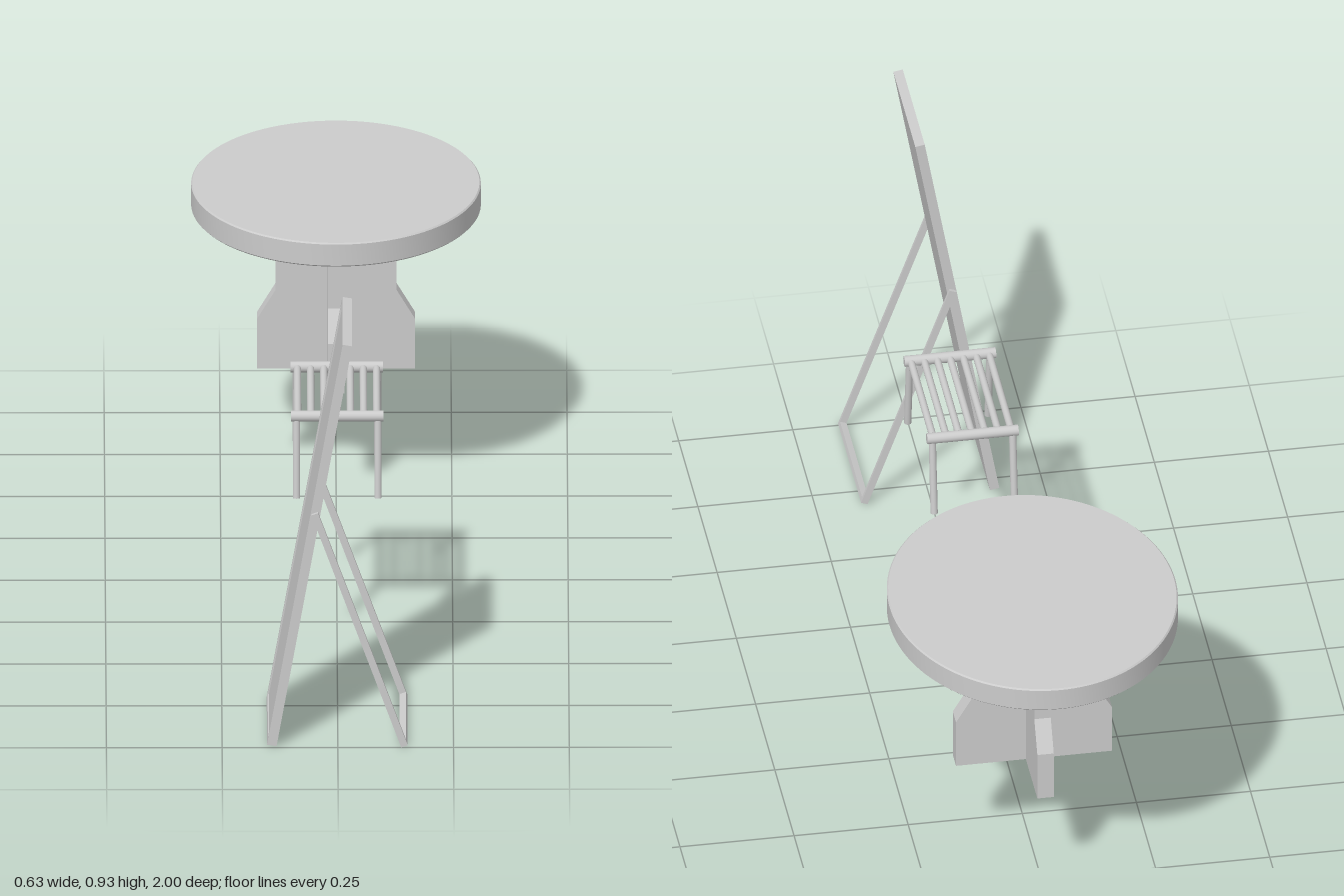
import * as THREE from 'three';
import { toCreasedNormals } from 'three/addons/utils/BufferGeometryUtils.js';

const grey = new THREE.MeshStandardMaterial({ color: 0xcccccc });

function add(parent, name, geometry, x = 0, y = 0, z = 0) {
  const mesh = new THREE.Mesh(geometry, grey);
  mesh.name = name;
  mesh.position.set(x, y, z);
  parent.add(mesh);
  return mesh;
}

function group(parent, name, x = 0, y = 0, z = 0) {
  const g = new THREE.Group();
  g.name = name;
  g.position.set(x, y, z);
  parent.add(g);
  return g;
}

// Round bar between two points
function bar(parent, name, from, to, radius) {
  const a = new THREE.Vector3(...from), b = new THREE.Vector3(...to);
  const dir = b.clone().sub(a);
  const mesh = add(parent, name, new THREE.CylinderGeometry(radius, radius, dir.length(), 16));
  mesh.position.copy(a).add(b).multiplyScalar(0.5);
  mesh.quaternion.setFromUnitVectors(new THREE.Vector3(0, 1, 0), dir.normalize());
  return mesh;
}

// Oval table on two crossed boards
function buildTable(parent) {
  const table = group(parent, 'table', 0, 0, -0.632);

  const bevel = 0.003, top = 0.68, bottom = 0.625;
  const oval = new THREE.Shape();
  oval.absellipse(0, 0, 0.313 - bevel, 0.368 - bevel, 0, Math.PI * 2);
  const slab = new THREE.ExtrudeGeometry(oval, {
    depth: top - bottom - 2 * bevel, curveSegments: 64,
    bevelSize: bevel, bevelThickness: bevel, bevelSegments: 1,
  });
  slab.rotateX(-Math.PI / 2);
  add(table, 'tableTop', toCreasedNormals(slab, 0.5), 0, bottom + bevel, 0);

  const board = (name, thickness) => {
    const side = [[0.171, 0.255], [0.171, 0.37], [0.131, 0.437], [0.131, 0.626]];
    const outline = [...side, ...side.map(([x, y]) => [-x, y]).reverse()];
    const shape = new THREE.Shape(outline.map(([x, y]) => new THREE.Vector2(x, y)));
    const g = new THREE.ExtrudeGeometry(shape, { depth: thickness, bevelEnabled: false });
    g.translate(0, 0, -thickness / 2);
    return add(table, name, g);
  };
  board('crossBoardWide', 0.042);
  board('crossBoardDeep', 0.036).rotation.y = Math.PI / 2;
}

// Slatted bench with splayed legs
function buildBench(parent) {
  const bench = group(parent, 'bench', 0, 0, 0.295);
  const y = 0.554;
  for (const s of [-1, 1]) {
    bar(bench, 'endRail', [-0.1, y, s * 0.147], [0.1, y, s * 0.147], 0.012);
    for (const x of [-0.088, 0.088])
      bar(bench, 'leg', [x, y, s * 0.147], [x, 0.374, s * 0.172], 0.008);
  }
  for (let i = -3; i <= 3; i++)
    bar(bench, 'slat', [i * 0.0285, y, -0.147], [i * 0.0285, y, 0.147], 0.008);
}

// Leaning floor mirror with a hinged stand
function buildMirror(parent) {
  const mirror = group(parent, 'floorMirror', 0, 0, 0.849);
  const width = 0.286, height = 0.941, rim = 0.012;

  const panel = group(mirror, 'panel', -0.061, 0.4675, 0);
  panel.rotation.z = -0.1746;
  add(panel, 'backing', new THREE.BoxGeometry(0.018, height, width), 0.0015, 0, 0);

  // Raised rim around the glass, on the -x face
  const rect = (Type, w, h) => new Type([[-w, -h], [w, -h], [w, h], [-w, h]]
    .map(([x, y]) => new THREE.Vector2(x / 2, y / 2)));
  const shape = rect(THREE.Shape, width, height);
  shape.holes.push(rect(THREE.Path, width - 2 * rim, height - 2 * rim));
  const frame = new THREE.ExtrudeGeometry(shape, { depth: 0.003, bevelEnabled: false });
  frame.rotateY(-Math.PI / 2);
  add(panel, 'frame', frame, -0.0075, 0, 0);

  // Stand: two flat side bars and a foot bar
  const hinge = new THREE.Vector2(-0.05, 0.543), foot = new THREE.Vector2(0.144, 0.005);
  const length = hinge.distanceTo(foot), half = length / 2;
  const stand = group(mirror, 'stand', (hinge.x + foot.x) / 2, (hinge.y + foot.y) / 2, 0);
  stand.rotation.z = Math.atan2(foot.x - hinge.x, hinge.y - foot.y);
  for (const s of [-1, 1])
    add(stand, 'sideBar', new THREE.BoxGeometry(0.015, length, 0.008), 0, 0, s * 0.147);
  add(stand, 'footBar', new THREE.BoxGeometry(0.015, 0.01, 0.294), 0, -half + 0.005, 0);
}

export function createModel() {
  const model = new THREE.Group();
  model.name = 'furnitureSet';
  buildTable(model);
  buildBench(model);
  buildMirror(model);
  return model;
}
